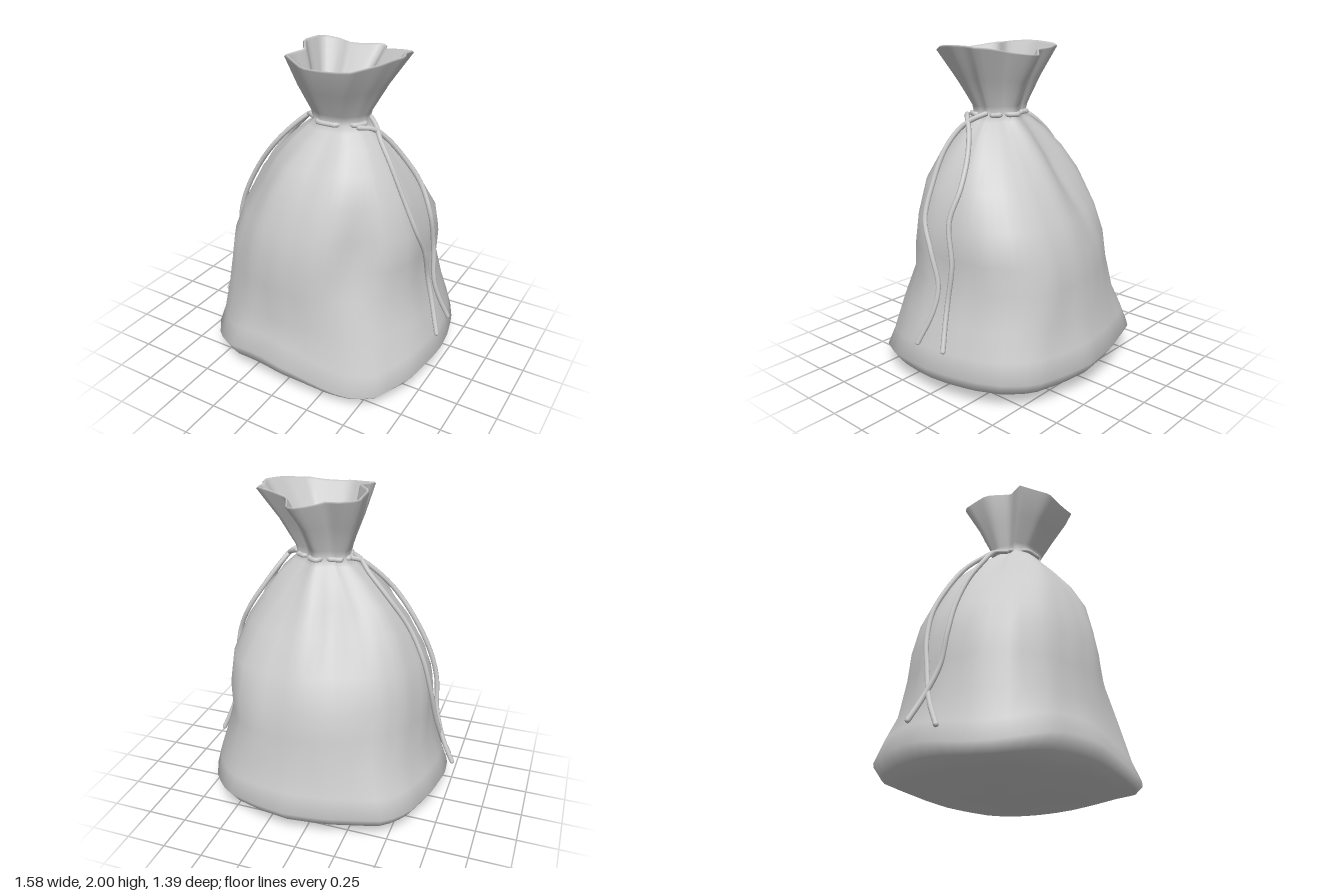
import * as THREE from 'three';

const SIDES = 64;

// Normalised plan outlines (x, z): the full base, the waist and the pleated mouth
const BASE = [[0.09, -1], [0.35, -0.965], [0.64, -0.88], [0.81, -0.7], [0.915, -0.46], [0.975, -0.21], [1, 0.03], [0.98, 0.24],
  [0.935, 0.46], [0.765, 0.79], [0.57, 0.91], [0.36, 0.957], [-0.03, 1], [-0.54, 0.94], [-0.73, 0.8], [-0.89, 0.57],
  [-0.975, 0.33], [-1, 0.06], [-0.955, -0.27], [-0.86, -0.57], [-0.775, -0.72], [-0.66, -0.82], [-0.25, -0.95]];
const WAIST = [[0.1, -0.98], [0.49, -0.96], [0.72, -0.83], [0.92, -0.55], [1, -0.22], [1, 0.25], [0.88, 0.54], [0.7, 0.75],
  [0.55, 0.87], [0.23, 0.98], [-0.1, 1], [-0.42, 0.95], [-0.75, 0.76], [-0.92, 0.5], [-1, 0.2], [-1, -0.1], [-0.88, -0.45],
  [-0.7, -0.69], [-0.45, -0.84], [-0.15, -0.95]];
const MOUTH = [[1, 0.06], [0.82, 0.5], [0.48, 0.9], [-0.35, 1], [-0.87, 0.7], [-0.72, 0.36], [-1, -0.05], [-1, -0.59],
  [-0.69, -0.68], [-0.42, -0.62], [0.05, -1], [0.17, -0.9], [0.32, -0.53], [0.93, -0.38], [0.91, -0.18]];

// Height, x min, x max, z min, z max, outline (0 base, 1 waist, 2 mouth)
const LEVELS = [
  [0.012, -0.16, 0.2, -0.18, 0.18, 0],
  [0.015, -0.36, 0.42, -0.4, 0.4, 0],
  [0.05, -0.59, 0.63, -0.55, 0.57, 0],
  [0.1, -0.69, 0.74, -0.64, 0.66, 0],
  [0.18, -0.735, 0.785, -0.695, 0.7, 0],
  [0.3, -0.69, 0.75, -0.665, 0.66, 0.15],
  [0.45, -0.625, 0.69, -0.63, 0.615, 0.5],
  [0.65, -0.61, 0.62, -0.595, 0.6, 1],
  [0.82, -0.6, 0.625, -0.57, 0.6, 1.03],
  [1.0, -0.555, 0.61, -0.505, 0.56, 1.1],
  [1.2, -0.45, 0.54, -0.39, 0.49, 1.2],
  [1.35, -0.34, 0.45, -0.29, 0.4, 1.35],
  [1.48, -0.21, 0.36, -0.19, 0.29, 1.5],
  [1.55, -0.12, 0.285, -0.12, 0.22, 1.6],
  [1.59, -0.08, 0.25, -0.1, 0.19, 1.6],
  [1.64, -0.09, 0.26, -0.11, 0.2, 1.7],
  [1.8, -0.145, 0.355, -0.2, 0.295, 1.9],
  [1.975, -0.2, 0.475, -0.325, 0.385, 2],
  // turned over the rim and down to the gathered bottom of the neck
  [1.985, -0.19, 0.465, -0.315, 0.375, 2],
  [1.975, -0.175, 0.45, -0.3, 0.36, 2],
  [1.8, -0.12, 0.33, -0.175, 0.27, 1.9],
  [1.67, -0.07, 0.24, -0.09, 0.18, 1.7],
  [1.62, 0, 0.17, -0.03, 0.12, 1.5],
];
const NECK = LEVELS[14];

// Soft dents (negative depth bulges): angle in degrees, height, angular width, height spread, depth
const DENTS = [
  [50, 0.92, 14, 0.2, 0.13], [85, 1.42, 12, 0.14, 0.04], [138, 1.2, 16, 0.24, 0.13],
  [140, 0.5, 22, 0.16, -0.06], [-108, 1.25, 13, 0.25, 0.11], [-42, 1.02, 24, 0.32, -0.06],
  [-155, 1.25, 20, 0.2, -0.05], [95, 0.28, 28, 0.08, 0.03], [-75, 0.4, 25, 0.12, 0.03],
];
// Corners of the base that hang lower (negative: lift): angle in degrees, angular width, share of the height
const HANGS = [[52, 26, 0.5], [145, 25, 0.35], [105, 22, -0.15]];

// Smooth falloff around a direction
function falloff(angle, degrees, width) {
  const d = angle - THREE.MathUtils.degToRad(degrees);
  const t = Math.atan2(Math.sin(d), Math.cos(d)) / THREE.MathUtils.degToRad(width);
  return Math.exp(-t * t);
}

// Radius along a direction of a star-shaped outline
function outlineRadius(outline) {
  const polar = outline.map(([x, z]) => [Math.atan2(z, x), Math.hypot(x, z)]).sort((p, q) => p[0] - q[0]);
  const first = polar[0], last = polar[polar.length - 1];
  polar.unshift([last[0] - 2 * Math.PI, last[1]]);
  polar.push([first[0] + 2 * Math.PI, first[1]]);
  return (angle) => {
    const a = Math.atan2(Math.sin(angle), Math.cos(angle));
    const i = Math.max(1, polar.findIndex((p) => p[0] >= a));
    const [a0, r0] = polar[i - 1], [a1, r1] = polar[i];
    return r0 * r1 * Math.sin(a1 - a0) / (r1 * Math.sin(a1 - a) + r0 * Math.sin(a - a0));
  };
}
const radii = [BASE, WAIST, MOUTH].map(outlineRadius);

function clothPoint([y, x0, x1, z0, z1, shape], angle, offset = 0) {
  const k = Math.min(1, Math.floor(shape));
  let r = THREE.MathUtils.lerp(radii[k](angle), radii[k + 1](angle), shape - k);
  if (y < 1.55) {
    for (const [deg, h, wide, tall, depth] of DENTS) {
      r -= depth * falloff(angle, deg, wide) * Math.exp(-(((y - h) / tall) ** 2));
    }
  }
  const c = Math.cos(angle), s = Math.sin(angle);
  // The rim dips at front and back, the base hangs unevenly
  let height = y;
  if (y > 1.7) height += (y - 1.7) / 0.28 * (0.05 * c * c - 0.035);
  if (y < 0.06) height -= 0.01 * Math.cos(2 * angle + 1);
  const hang = 1 - THREE.MathUtils.smoothstep(y, 0.15, 0.5);
  for (const [deg, wide, share] of HANGS) height -= y * hang * share * falloff(angle, deg, wide);
  return new THREE.Vector3(
    (x0 + x1) / 2 + ((x1 - x0) / 2 * r + offset) * c,
    height,
    (z0 + z1) / 2 + ((z1 - z0) / 2 * r + offset) * s);
}

// Cloth skin lofted through the levels, with a fan closing each end
function sackGeometry() {
  const positions = [], index = [];
  const top = (LEVELS.length - 1) * SIDES, floorCentre = top + SIDES, neckCentre = floorCentre + 1;
  LEVELS.forEach((level, j) => {
    for (let i = 0; i < SIDES; i++) {
      positions.push(...clothPoint(level, i / SIDES * Math.PI * 2).toArray());
      if (j === LEVELS.length - 1) continue;
      const a = j * SIDES + i, b = j * SIDES + (i + 1) % SIDES;
      index.push(a, a + SIDES, b, b, a + SIDES, b + SIDES);
    }
  });
  positions.push(0.02, 0.012, 0, 0.085, 1.61, 0.045);
  for (let i = 0; i < SIDES; i++) {
    const n = (i + 1) % SIDES;
    index.push(floorCentre, i, n, neckCentre, top + n, top + i);
  }
  const geometry = new THREE.BufferGeometry();
  geometry.setAttribute('position', new THREE.Float32BufferAttribute(positions, 3));
  geometry.setIndex(index);
  geometry.computeVertexNormals();
  return geometry;
}

export function createModel() {
  const group = new THREE.Group();
  const material = new THREE.MeshStandardMaterial({ color: 0xcccccc, side: THREE.DoubleSide });
  const add = (name, geometry) => {
    const mesh = new THREE.Mesh(geometry, material);
    mesh.name = name;
    group.add(mesh);
    return mesh;
  };

  add('sack', sackGeometry());

  // Cord with rounded ends
  const cord = (name, points, radius = 0.015) => {
    const curve = new THREE.CatmullRomCurve3(points);
    add(name, new THREE.TubeGeometry(curve, points.length * 5, radius, 8));
    for (const end of [points[0], points[points.length - 1]]) {
      add(name + 'End', new THREE.SphereGeometry(radius, 8, 6)).position.copy(end);
    }
  };

  // Stitches of the drawstring around the neck, diving into the cloth at both ends
  for (const [from, to] of [[70, 126], [8, 46], [-50, -28], [-98, -66], [-145, -115], [145, 172], [183, 205]]) {
    const points = [];
    for (let k = 0; k <= 6; k++) {
      const angle = THREE.MathUtils.degToRad(from + (to - from) * k / 6);
      points.push(clothPoint(NECK, angle, k % 6 ? 0.01 : -0.012));
    }
    cord('neckStitch', points);
  }

  // Hanging tails, two on each side
  const tails = {
    leftFrontTail: [[0.25, 1.6, 0], [0.31, 1.57, 0.05], [0.36, 1.52, 0.1], [0.45, 1.4, 0.14], [0.55, 1.2, 0.15], [0.625, 1.02, 0.135],
      [0.655, 0.85, 0.06], [0.66, 0.65, 0], [0.7, 0.5, 0.01], [0.77, 0.315, 0.07]],
    leftBackTail: [[0.25, 1.585, 0.15], [0.31, 1.57, 0.09], [0.36, 1.51, 0.03], [0.445, 1.38, -0.04], [0.545, 1.22, -0.08],
      [0.625, 1.04, -0.065], [0.645, 0.8, -0.1], [0.67, 0.58, -0.085], [0.71, 0.45, -0.1], [0.76, 0.32, -0.13]],
    rightBackTail: [[-0.08, 1.58, 0.1], [-0.14, 1.57, 0.05], [-0.2, 1.52, 0], [-0.32, 1.4, -0.03], [-0.47, 1.2, -0.02], [-0.57, 1.0, -0.035],
      [-0.62, 0.8, -0.02], [-0.65, 0.6, 0.03], [-0.69, 0.4, 0.1], [-0.725, 0.23, 0.2]],
    rightFrontTail: [[-0.08, 1.59, 0], [-0.14, 1.57, 0.04], [-0.21, 1.51, 0.08], [-0.33, 1.38, 0.13], [-0.46, 1.2, 0.14], [-0.57, 0.98, 0.15],
      [-0.62, 0.8, 0.15], [-0.64, 0.6, 0.12], [-0.7, 0.42, 0.07], [-0.775, 0.275, 0.04]],
  };
  for (const [name, points] of Object.entries(tails)) {
    cord(name, points.map((p) => new THREE.Vector3(...p)));
  }

  return group;
}
